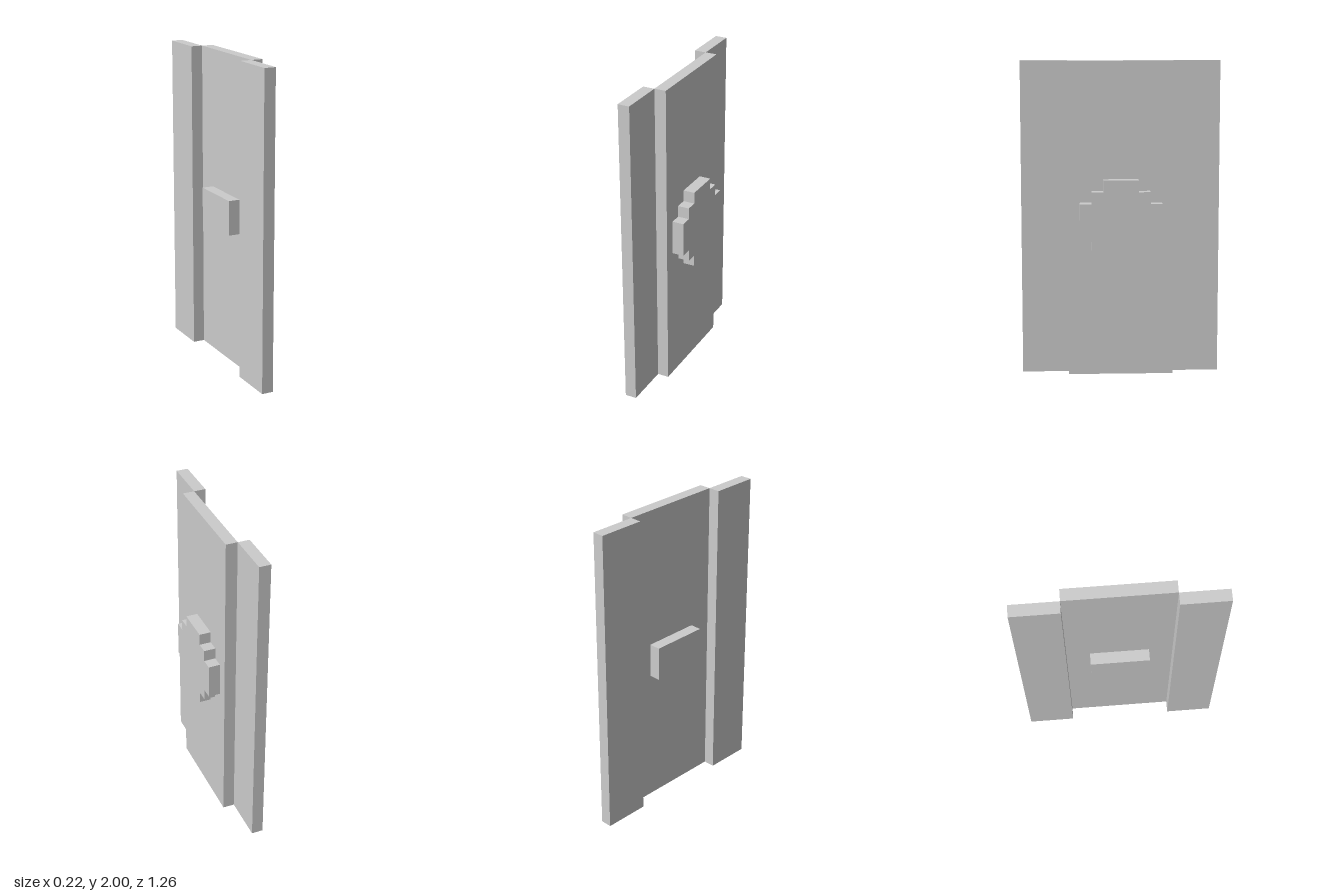
import * as THREE from 'three';

// The whole door sits on a square module: 27 units tall, 17 wide
const U = 2 / 27;

export function createModel() {
  const door = new THREE.Group();
  door.name = 'door';
  const material = new THREE.MeshStandardMaterial({ color: 0xcccccc, flatShading: true });

  const add = (name, geometry, x, y, z) => {
    const mesh = new THREE.Mesh(geometry, material);
    mesh.name = name;
    mesh.position.set(x * U, y * U, z * U);
    door.add(mesh);
  };
  const slab = (height, width) => new THREE.BoxGeometry(U, height * U, width * U);

  // Middle panel, with a side plank set back at each edge
  add('middlePanel', slab(27, 9), 0, 13.5, 0);
  for (const [name, side] of [['frontPlank', 1], ['rearPlank', -1]]) {
    add(name, slab(27, 4), -1, 13.5, side * 6.5);
  }

  // Bar on the inner face
  add('innerBar', slab(3, 5), -1, 13.5, 0);

  // Stepped round boss on the outer face: one quadrant turned four times
  const quadrant = [[3.5, -1.5], [3.5, 1.5], [2.5, 1.5], [2.5, 2.5], [1.5, 2.5]];
  const outline = [];
  for (let turn = 0; turn < 4; turn++) {
    for (const [a, b] of quadrant) {
      outline.push(new THREE.Vector2(a * U, b * U).rotateAround(new THREE.Vector2(), turn * Math.PI / 2));
    }
  }
  // Drop the corner each quadrant shares with the next
  const corners = outline.filter((p, i) => p.distanceTo(outline[(i + 1) % outline.length]) > 1e-4);
  const boss = new THREE.ExtrudeGeometry(new THREE.Shape(corners), { depth: U, bevelEnabled: false });
  boss.rotateY(Math.PI / 2);
  add('outerBoss', boss, 0.5, 13.5, 0);

  return door;
}
